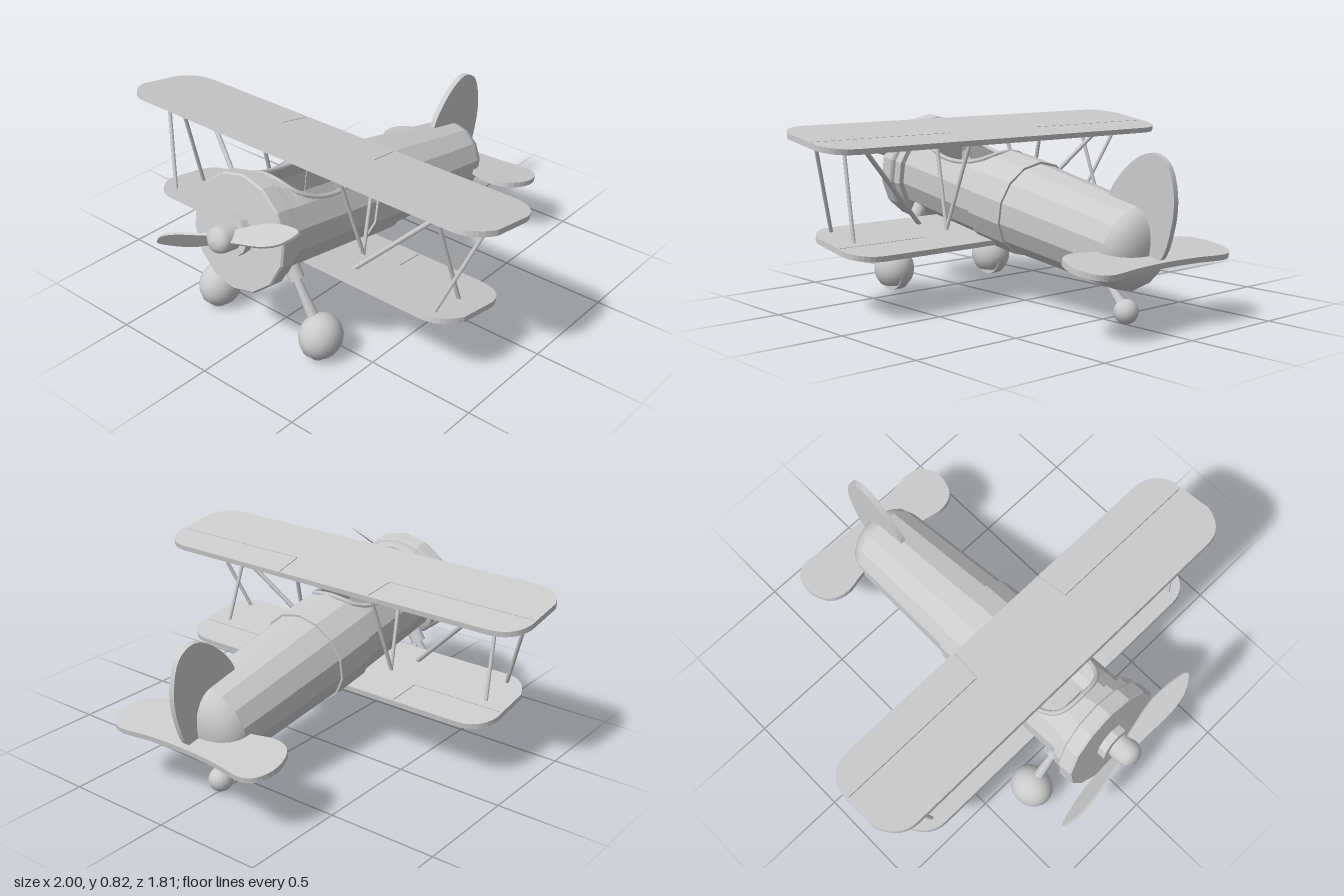
import * as THREE from 'three';

const flat = new THREE.MeshStandardMaterial({ color: 0xcccccc, flatShading: true, side: THREE.DoubleSide });
const smooth = new THREE.MeshStandardMaterial({ color: 0xcccccc, side: THREE.DoubleSide });
const SIDES = 14;
const PITCH = 0.165; // nose-up attitude of the parked aircraft

function add(parent, name, geometry, material = smooth) {
  const mesh = new THREE.Mesh(geometry, material);
  mesh.name = name;
  parent.add(mesh);
  return mesh;
}

// Lathe around the z axis from [z, radius] pairs
function turned(profile, sides = SIDES) {
  return new THREE.LatheGeometry(profile.map(([z, r]) => new THREE.Vector2(r, z)), sides).rotateX(Math.PI / 2);
}

// Tapered rod between two points
function rod(parent, name, from, to, r0, r1 = r0, sides = 8) {
  const a = new THREE.Vector3(...from), b = new THREE.Vector3(...to);
  const dir = b.clone().sub(a);
  const mesh = add(parent, name, new THREE.CylinderGeometry(r1, r0, dir.length(), sides));
  mesh.position.copy(a).addScaledVector(dir, 0.5);
  mesh.quaternion.setFromUnitVectors(new THREE.Vector3(0, 1, 0), dir.normalize());
  return mesh;
}

// Horizontal slab from an [x, z] outline
function slab(shape, thickness) {
  return new THREE.ExtrudeGeometry(shape, { depth: thickness, bevelEnabled: false, curveSegments: 8 })
    .translate(0, 0, -thickness / 2).rotateX(Math.PI / 2);
}

// Fuselage radius and the height of the cockpit cut at station s
const bodyRadius = s => s > -0.07 ? 0.214 : THREE.MathUtils.mapLinear(s, -0.68, -0.07, 0.186, 0.212);
const COCKPIT = { mid: 0.385, half: 0.23 };
function cutHeight(s) {
  const u = (s - COCKPIT.mid) / COCKPIT.half;
  return Math.abs(u) >= 1 ? 1 : 0.225 - 0.09 * Math.sqrt(1 - u * u);
}

// Faceted tapering shell, left open where the cockpit cuts it
function fuselageGeometry() {
  const stations = [-0.68, -0.07, 0.1];
  for (let i = 0; i <= 24; i++) stations.push(COCKPIT.mid - COCKPIT.half * Math.cos(Math.PI * i / 24));
  stations.push(0.68);
  const pos = [], index = [], n = SIDES + 1;
  stations.forEach((s, j) => {
    const r = bodyRadius(s), h = cutHeight(s);
    for (let i = 0; i < n; i++) {
      const t = i / SIDES * Math.PI * 2;
      let x = r * Math.sin(t), y = r * Math.cos(t);
      if (y > h) { x = Math.sqrt(r * r - h * h) * (t < Math.PI ? 1 : -1); y = h; }
      pos.push(x, y, s);
      if (j && i) {
        const a = (j - 1) * n + i - 1, c = a + n;
        index.push(a, c, a + 1, a + 1, c, c + 1);
      }
    }
  });
  const g = new THREE.BufferGeometry();
  g.setAttribute('position', new THREE.Float32BufferAttribute(pos, 3));
  g.setIndex(index);
  g.computeVertexNormals();
  return g;
}

// Rounded wing with a thin hinge gap around each aileron
function wingGeometry(half, inner) {
  const e = 0.2175, s = new THREE.Shape();
  s.moveTo(-half + 0.14, e);
  s.quadraticCurveTo(-half + 0.04, e, -half, 0.1);
  s.lineTo(-half, -0.1);
  s.quadraticCurveTo(-half + 0.02, -e, -half + 0.15, -e);
  s.lineTo(half - 0.15, -e);
  s.quadraticCurveTo(half - 0.02, -e, half, -0.1);
  s.lineTo(half, 0.1);
  s.quadraticCurveTo(half - 0.04, e, half - 0.14, e);
  for (const k of [1, -1]) {
    const gap = [[inner, -0.21], [inner + 0.014, -0.06], [half - 0.01, -0.06],
      [half - 0.01, -0.064], [inner + 0.018, -0.064], [inner + 0.004, -0.21]];
    s.holes.push(new THREE.Path(gap.map(([x, y]) => new THREE.Vector2(k * x, y))));
  }
  return slab(s, 0.025);
}

// Closed smooth outline through a few points
function outline(points) {
  const curve = new THREE.CatmullRomCurve3(points.map(([x, y]) => new THREE.Vector3(x, y, 0)), true);
  return new THREE.Shape(curve.getPoints(60).slice(0, -1).map(p => new THREE.Vector2(p.x, p.y)));
}

function buildBody(body) {
  add(body, 'fuselage', fuselageGeometry(), flat);
  add(body, 'tailCone', turned([[-0.785, 0], [-0.782, 0.06], [-0.768, 0.115], [-0.74, 0.155], [-0.71, 0.177], [-0.68, 0.186]]));
  add(body, 'fuselageBand', turned([[-0.07, 0.21], [-0.07, 0.222], [0.137, 0.224], [0.137, 0.21]]), flat);
  add(body, 'cowling', turned([[0.65, 0.21], [0.655, 0.236], [0.695, 0.238], [0.7, 0.25],
    [0.708, 0.2585], [0.768, 0.2585], [0.777, 0.252], [0.777, 0]]), flat);

  // Padded rim along both cockpit edges
  for (const k of [1, -1]) {
    const pts = [];
    for (let i = 0; i <= 16; i++) {
      const s = COCKPIT.mid - COCKPIT.half * 0.995 * Math.cos(Math.PI * i / 16);
      const r = bodyRadius(s), h = Math.min(cutHeight(s), r);
      pts.push(new THREE.Vector3(k * Math.sqrt(r * r - h * h), h, s));
    }
    add(body, 'cockpitRim', new THREE.TubeGeometry(new THREE.CatmullRomCurve3(pts), 40, 0.011, 6));
  }
}

function buildPropeller(body) {
  add(body, 'engineHub', turned([[0.77, 0.09], [0.815, 0.09], [0.815, 0]], 12), flat);
  add(body, 'spinner', turned([[0.8, 0.06], [0.875, 0.06], [0.9, 0.052], [0.915, 0.03], [0.92, 0]], 16));
  const propeller = new THREE.Group();
  propeller.name = 'propeller';
  propeller.position.z = 0.85;
  const blade = outline([[0.03, -0.02], [0.12, -0.04], [0.26, -0.058], [0.36, -0.045], [0.425, 0],
    [0.36, 0.03], [0.24, 0.05], [0.12, 0.04], [0.03, 0.02]]);
  for (let i = 0; i < 2; i++) {
    const g = new THREE.ExtrudeGeometry(blade, { depth: 0.012, bevelEnabled: false })
      .translate(0, 0, -0.006).rotateX(-0.8).rotateZ(0.41 + Math.PI * i);
    add(propeller, 'propellerBlade', g);
  }
  body.add(propeller);
}

function buildWings(body) {
  add(body, 'upperWing', wingGeometry(1, 0.25)).position.set(0, 0.28, 0.326);
  add(body, 'lowerWing', wingGeometry(0.87, 0.4)).position.set(0, -0.174, 0.252);
  // Struts as top [x, z], bottom [x, z], radius
  const struts = [
    [0.72, 0.447, 0.76, 0.235, 0.009],
    [0.92, 0.349, 0.76, 0.413, 0.009],
    [0.74, 0.29, 0.3, 0.373, 0.011],
    [0.21, 0.18, 0.25, 0.245, 0.009],
    [0.21, 0.447, 0.25, 0.235, 0.009],
  ];
  for (const k of [1, -1]) for (const [xt, zt, xb, zb, r] of struts) {
    rod(body, 'wingStrut', [k * xb, -0.172, zb], [k * xt, 0.275, zt], r);
  }
}

function buildTail(body, plane) {
  const half = [[0, 0.125], [0.18, 0.122], [0.31, 0.145], [0.39, 0.11], [0.43, 0], [0.405, -0.09], [0.35, -0.125], [0.18, -0.108], [0, -0.1]];
  const mirrored = half.slice(1, -1).reverse().map(([x, z]) => [-x, z]);
  add(body, 'tailplane', slab(outline([...half, ...mirrored]), 0.025)).position.set(0, -0.012, -0.772);

  // Upright fin, drawn as [-z, y] and turned to face sideways
  const fin = outline([[0.54, 0.53], [0.645, 0.675], [0.775, 0.738], [0.86, 0.7], [0.9, 0.58],
    [0.888, 0.435], [0.826, 0.3], [0.74, 0.32], [0.62, 0.45]]);
  add(plane, 'tailFin', new THREE.ExtrudeGeometry(fin, { depth: 0.026, bevelEnabled: false })
    .translate(0, 0, -0.013).rotateY(Math.PI / 2));

  rod(plane, 'tailWheelLeg', [0, 0.085, -0.61], [0, 0.17, -0.525], 0.024, 0.012);
  add(plane, 'tailWheel', new THREE.SphereGeometry(0.054, 16, 12)).position.set(0, 0.056, -0.636);
}

function buildLandingGear(plane) {
  for (const k of [1, -1]) {
    const gear = new THREE.Group();
    gear.name = k > 0 ? 'leftLandingGear' : 'rightLandingGear';
    const fairing = add(gear, 'wheelFairing', new THREE.SphereGeometry(0.102, 24, 16, 0, Math.PI * 2, 0, Math.PI * 0.78));
    fairing.scale.x = 0.9;
    fairing.position.set(k * 0.303, 0.105, 0.605);
    const tyre = add(gear, 'tyre', new THREE.CylinderGeometry(0.098, 0.098, 0.05, 24).rotateZ(Math.PI / 2));
    tyre.position.set(k * 0.303, 0.098, 0.605);
    rod(gear, 'gearLeg', [k * 0.262, 0.18, 0.605], [k * 0.15, 0.37, 0.603], 0.026, 0.015);
    rod(gear, 'gearSocket', [k * 0.172, 0.335, 0.603], [k * 0.13, 0.406, 0.603], 0.035, 0.035, 12);
    plane.add(gear);
  }
}

export function createModel() {
  const plane = new THREE.Group();
  plane.name = 'biplane';
  const body = new THREE.Group();
  body.name = 'pitchedBody';
  body.position.y = 0.442;
  body.rotation.x = -PITCH;
  plane.add(body);
  buildBody(body);
  buildPropeller(body);
  buildWings(body);
  buildTail(body, plane);
  buildLandingGear(plane);
  return plane;
}
